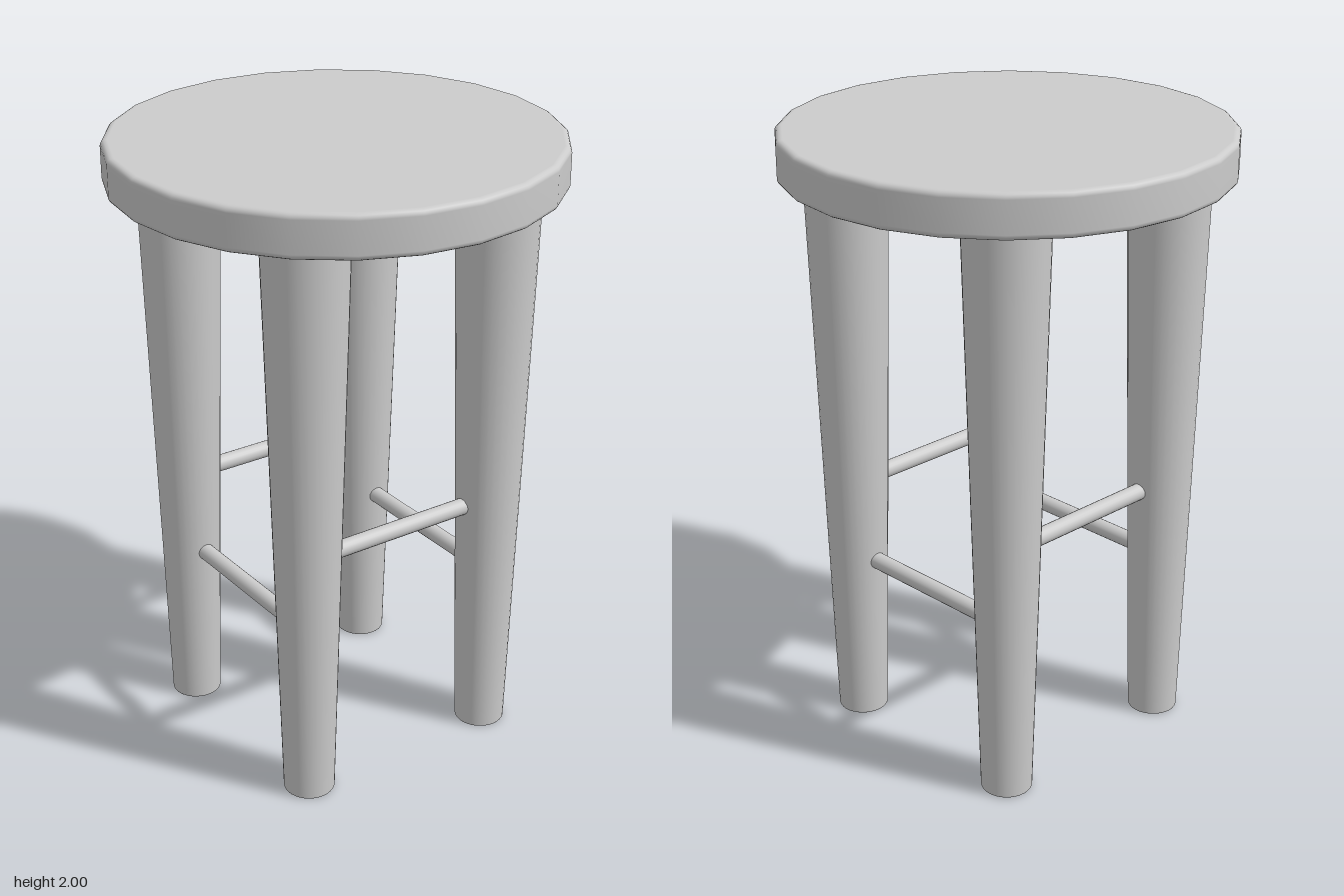
import * as THREE from 'three';

const material = new THREE.MeshStandardMaterial({ color: 0xcccccc });

// Solid of revolution with rounded rims; the extra points beside each rim keep flat faces flat
function roundedDisc(rBottom, rTop, y0, y1, bevel, sides) {
  const points = [new THREE.Vector2(0, y0), new THREE.Vector2(rBottom - bevel * 1.2, y0)];
  const steps = 4;
  for (let i = 0; i <= steps; i++) {
    const a = (i / steps) * Math.PI / 2;
    points.push(new THREE.Vector2(rBottom - bevel * (1 - Math.sin(a)), y0 + bevel * (1 - Math.cos(a))));
  }
  for (let i = 0; i <= steps; i++) {
    const a = (i / steps) * Math.PI / 2;
    points.push(new THREE.Vector2(rTop - bevel * (1 - Math.cos(a)), y1 - bevel * (1 - Math.sin(a))));
  }
  points.push(new THREE.Vector2(rTop - bevel * 1.2, y1), new THREE.Vector2(0, y1));
  return new THREE.LatheGeometry(points, sides);
}

function addMesh(parent, name, geometry) {
  const mesh = new THREE.Mesh(geometry, material);
  mesh.name = name;
  parent.add(mesh);
  return mesh;
}

export function createModel() {
  const model = new THREE.Group();
  model.name = 'stool';

  // Round seat with softened rims
  addMesh(model, 'seat', roundedDisc(0.695, 0.695, 1.865, 2, 0.018, 24));

  // Four upright legs, tapering towards the floor
  const offset = 0.345;
  const legGeometry = roundedDisc(0.081, 0.131, 0, 1.875, 0.006, 32);
  for (const [sx, side] of [[1, 'Left'], [-1, 'Right']]) {
    for (const [sz, end] of [[1, 'front'], [-1, 'back']]) {
      addMesh(model, `${end}${side}Leg`, legGeometry).position.set(sx * offset, 0, sz * offset);
    }
  }

  // Rungs: higher pair at front and back, lower pair at the sides
  const rungGeometry = new THREE.CylinderGeometry(0.027, 0.027, 2 * offset, 20);
  for (const s of [1, -1]) {
    const across = addMesh(model, s > 0 ? 'frontRung' : 'backRung', rungGeometry);
    across.rotation.z = Math.PI / 2;
    across.position.set(0, 0.825, s * offset);

    const along = addMesh(model, s > 0 ? 'leftRung' : 'rightRung', rungGeometry);
    along.rotation.x = Math.PI / 2;
    along.position.set(s * offset, 0.572, 0);
  }
  return model;
}
